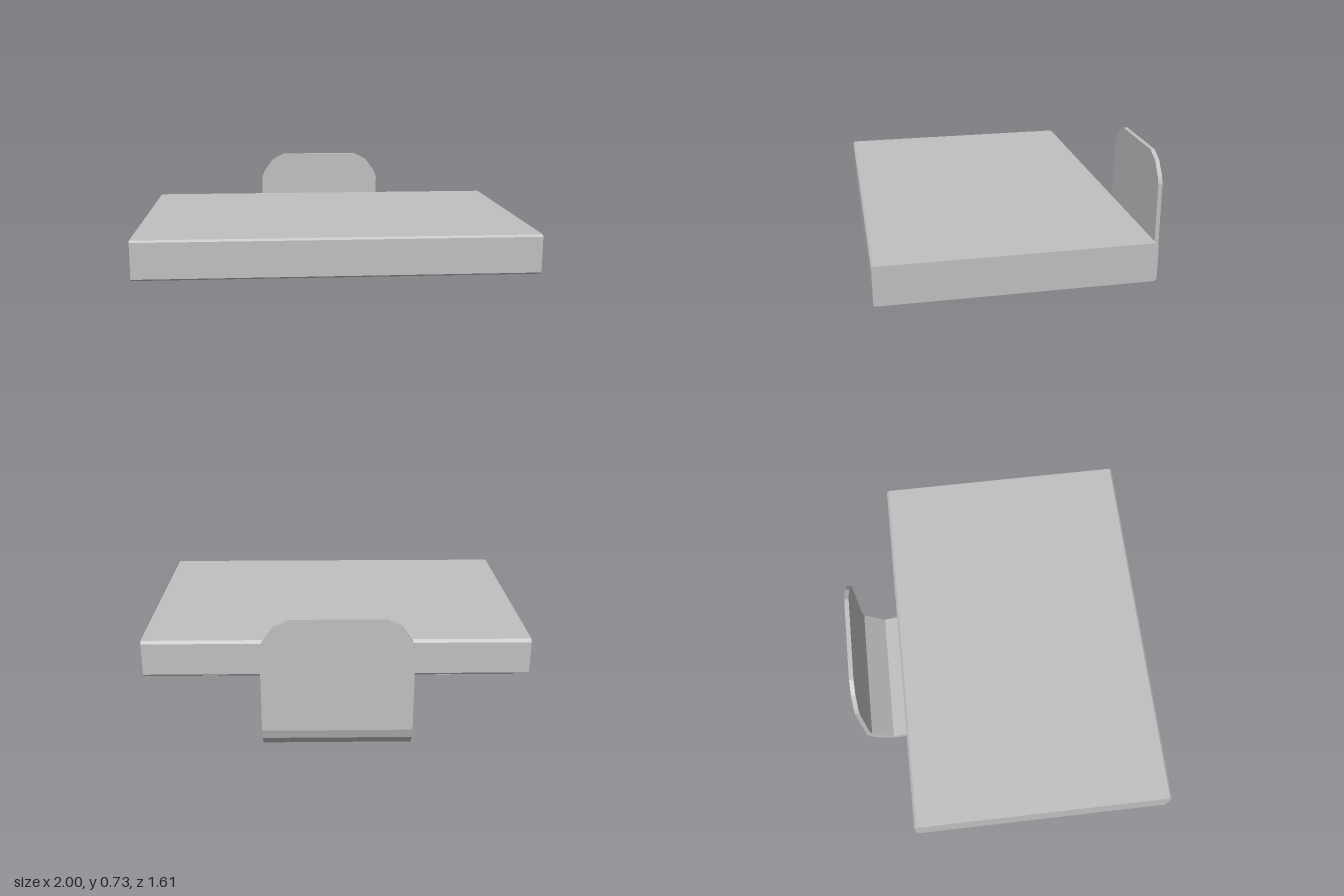
import * as THREE from 'three';

const grey = new THREE.MeshStandardMaterial({ color: 0xc0c0c0, flatShading: true });
grey.name = 'plainGrey';

// Extrudes a (z, y) side profile across x, centred on x = 0
function sideProfile(name, points, width) {
  const shape = new THREE.Shape(points.map(([z, y]) => new THREE.Vector2(z, y)));
  const geometry = new THREE.ExtrudeGeometry(shape, { depth: width, bevelEnabled: false });
  geometry.translate(0, 0, -width / 2).rotateY(-Math.PI / 2);
  const mesh = new THREE.Mesh(geometry, grey);
  mesh.name = name;
  return mesh;
}

export function createModel() {
  const model = new THREE.Group();
  model.name = 'slabWithBracket';

  // Slab with softened front and back edges
  model.add(sideProfile('slab', [
    [0.8, 0.317], [0.808, 0.325], [0.808, 0.505], [0.798, 0.515],
    [-0.535, 0.515], [-0.548, 0.5], [-0.548, 0.33], [-0.538, 0.317],
  ], 2));

  // Slight bulge on the underside
  const bulge = new THREE.BoxGeometry(2, 0.007, 1.34);
  const b = bulge.attributes.position;
  for (let i = 0; i < b.count; i++) {
    if (b.getY(i) < 0) b.setXYZ(i, b.getX(i) * 0.8, b.getY(i), b.getZ(i) * 0.83);
  }
  bulge.translate(0, 0.3145, 0.13);
  const underside = new THREE.Mesh(bulge, grey);
  underside.name = 'underside';
  model.add(underside);

  // Flared mount joining the arm to the underside
  const mount = sideProfile('armMount', [
    [0.045, 0.313], [0.01, 0.255], [-0.12, 0.2], [-0.16, 0.19],
    [-0.16, 0.215], [-0.03, 0.313],
  ], 0.75);
  const m = mount.geometry.attributes.position;
  for (let i = 0; i < m.count; i++) {
    const flare = THREE.MathUtils.clamp((m.getY(i) - 0.2) / 0.08, 0, 1);
    m.setX(i, m.getX(i) * (1 + 0.065 * flare));
  }
  mount.geometry.computeVertexNormals();
  model.add(mount);

  // Sloping arm that bends up at the back
  model.add(sideProfile('bentArm', [
    [-0.13, 0.193], [-0.55, 0.038], [-0.61, 0.005], [-0.66, 0],
    [-0.73, 0.03], [-0.79, 0.09], [-0.806, 0.14], [-0.806, 0.2],
    [-0.782, 0.2], [-0.775, 0.14], [-0.66, 0.035], [-0.55, 0.065], [-0.13, 0.218],
  ], 0.75));

  // Upright plate with clipped, rounded top corners
  const half = [[0.375, 0.2], [0.375, 0.58], [0.362, 0.615], [0.305, 0.695], [0.23, 0.733]];
  const outline = [...half, ...half.map(([x, y]) => [-x, y]).reverse()];
  const plateShape = new THREE.Shape(outline.map(([x, y]) => new THREE.Vector2(x, y)));
  const plate = new THREE.Mesh(
    new THREE.ExtrudeGeometry(plateShape, { depth: 0.024, bevelEnabled: false }), grey);
  plate.name = 'uprightPlate';
  plate.position.z = -0.806;
  model.add(plate);

  // Small tapered support between the arm and the underside
  const support = new THREE.Mesh(new THREE.CylinderGeometry(0.058, 0.025, 0.1, 6), grey);
  support.name = 'support';
  support.position.set(0, 0.265, -0.225);
  const foot = new THREE.Mesh(new THREE.CylinderGeometry(0.042, 0.03, 0.035, 6), grey);
  foot.name = 'supportFoot';
  foot.position.set(0, 0.205, -0.205);
  model.add(support, foot);

  return model;
}
